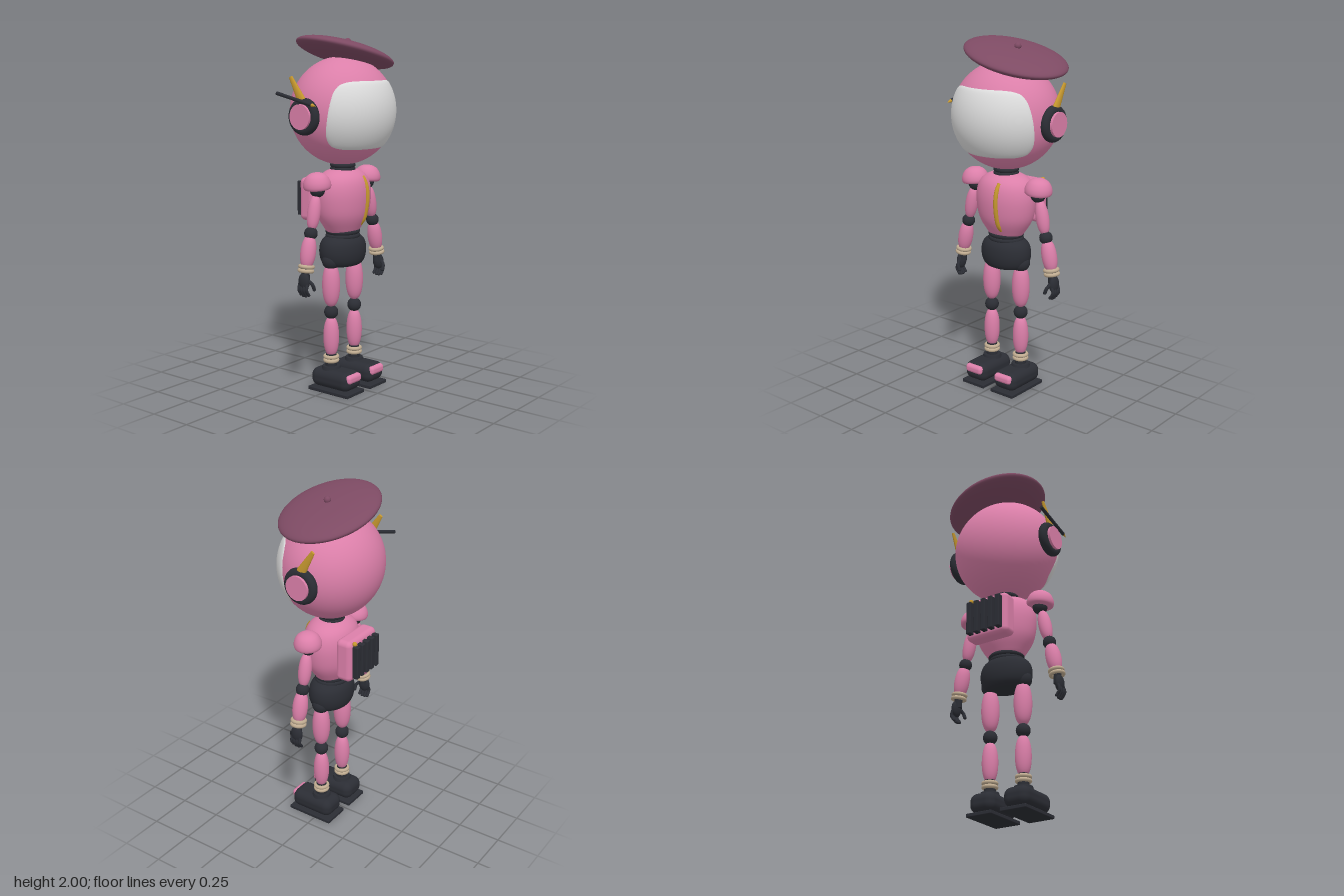
import * as THREE from 'three';
import { RoundedBoxGeometry } from 'three/addons/geometries/RoundedBoxGeometry.js';

const mat = (name, color, side = THREE.FrontSide) => {
  const m = new THREE.MeshStandardMaterial({ color, side });
  m.name = name;
  return m;
};

export function createModel() {
  const pink = mat('pink shell', 0xdb7fa9);
  const plum = mat('plum felt', 0x7d4a63);
  const dark = mat('dark joint', 0x2b2d34);
  const white = mat('visor white', 0xdcdcdc, THREE.DoubleSide);
  const gold = mat('gold', 0xc6982f);
  const beige = mat('beige ring', 0xbfab90);

  const root = new THREE.Group();
  root.name = 'robot';

  const add = (parent, name, geo, material, x = 0, y = 0, z = 0) => {
    const m = new THREE.Mesh(geo, material);
    m.name = name;
    m.position.set(x, y, z);
    parent.add(m);
    return m;
  };
  const group = (name, parent = root) => {
    const g = new THREE.Group();
    g.name = name;
    parent.add(g);
    return g;
  };
  const ball = (rx, ry = rx, rz = rx) => new THREE.SphereGeometry(1, 40, 28).scale(rx, ry, rz);
  // Smooth turned solid from a few profile points, bottom to top
  const turned = (pts, depth = 1) => {
    const curve = new THREE.SplineCurve(pts.map(p => new THREE.Vector2(...p)));
    const profile = curve.getPoints(40).map(p => new THREE.Vector2(Math.max(0, p.x), p.y));
    return new THREE.LatheGeometry(profile, 48).scale(1, 1, depth);
  };
  // Blunt spindle used for the limb shells
  const spindle = (r, half) => {
    const pts = [];
    for (let i = 0; i <= 24; i++) {
      const a = (i / 24 - 0.5) * Math.PI;
      pts.push(new THREE.Vector2(r * Math.pow(Math.max(0, Math.cos(a)), 0.75), half * Math.sin(a)));
    }
    return new THREE.LatheGeometry(pts, 32);
  };
  const ring = (R, r) => new THREE.TorusGeometry(R, r, 14, 40).rotateX(Math.PI / 2);
  const tube = (pts, r) => new THREE.TubeGeometry(
    new THREE.CatmullRomCurve3(pts.map(p => new THREE.Vector3(...p))), 20, r, 10);

  // Head
  const head = group('head');
  const HY = 1.588;
  add(head, 'headShell', new THREE.SphereGeometry(1, 64, 48).scale(0.31, 0.3, 0.283), pink, 0, HY, 0);

  // Visor: a rounded patch wrapped onto the head, its rim tucked into the shell
  const visorGeo = new THREE.PlaneGeometry(2, 2, 64, 48);
  const vp = visorGeo.attributes.position;
  for (let i = 0; i < vp.count; i++) {
    const x = vp.getX(i), y = vp.getY(i);
    const px = x * Math.sqrt(1 - 0.25 * y ** 6);
    const py = y * Math.sqrt(1 - 0.25 * x ** 6);
    const lift = 1.016 - 0.04 * Math.max(Math.abs(x), Math.abs(y)) ** 24;
    const t = (1.573 + 0.192 * py - HY) / 0.3;
    const around = Math.sqrt(1 - t * t);
    const az = THREE.MathUtils.degToRad(68 - 7 * py) * px;
    vp.setXYZ(i, 0.31 * Math.sin(az) * around * lift, 0.3 * t * lift, 0.283 * Math.cos(az) * around * lift);
  }
  visorGeo.computeVertexNormals();
  add(head, 'visor', visorGeo, white, 0, HY, 0);

  // Ear cups with antennae
  for (const s of [1, -1]) {
    const ear = group(s > 0 ? 'leftEar' : 'rightEar', head);
    ear.position.set(s * 0.31, 1.57, -0.02);
    add(ear, 'earCushion', new THREE.TorusGeometry(0.074, 0.027, 16, 48).rotateY(Math.PI / 2), dark);
    add(ear, 'earBody', new THREE.CylinderGeometry(0.08, 0.08, 0.044, 40).rotateZ(Math.PI / 2), dark);
    add(ear, 'earCap', new THREE.CylinderGeometry(0.068, 0.068, 0.04, 40).rotateZ(Math.PI / 2), pink, s * 0.02);
    const antenna = add(ear, 'antenna',
      new THREE.CylinderGeometry(0.012, 0.028, 0.15, 20).scale(0.5, 1, 1), gold, s * 0.008, 0.145, -0.046);
    antenna.rotation.x = -0.55;
  }

  // Stylus tucked over the right ear
  const stylus = group('stylus', head);
  stylus.position.set(-0.349, 1.664, -0.055);
  stylus.rotation.x = 0.22;
  add(stylus, 'stylusBody', new THREE.CylinderGeometry(0.01, 0.01, 0.25, 16).rotateX(Math.PI / 2), dark);
  add(stylus, 'stylusTip', new THREE.ConeGeometry(0.01, 0.03, 16).rotateX(Math.PI / 2), gold, 0, 0, 0.14);

  // Tilted beret
  const beret = group('beret', head);
  beret.position.set(0.05, 1.905, -0.022);
  beret.rotation.set(0.07, 0, -0.26);
  add(beret, 'beretDisc', new THREE.SphereGeometry(1, 64, 32).scale(0.303, 0.056, 0.263), plum);
  add(beret, 'beretStub', ball(0.019), plum, 0, 0.063, 0);

  // Neck
  add(root, 'neck', new THREE.CylinderGeometry(0.06, 0.06, 0.1, 32), dark, 0, 1.28, 0);
  for (const y of [1.262, 1.285]) add(root, 'neckRing', ring(0.058, 0.014), dark, 0, y, 0);

  // Torso and front zip
  add(root, 'torso', turned([[0, 0.895], [0.085, 0.9], [0.125, 0.94], [0.165, 1.01], [0.181, 1.1],
    [0.176, 1.17], [0.153, 1.22], [0.11, 1.252], [0.06, 1.265], [0, 1.267]], 0.8), pink);
  add(root, 'zip', tube([[0.04, 0.955, 0.092], [0.04, 0.985, 0.117], [0.04, 1.03, 0.132], [0.04, 1.1, 0.142],
    [0.04, 1.16, 0.138], [0.04, 1.195, 0.126], [0.04, 1.222, 0.107]], 0.013), gold);

  // Backpack with vertical fins
  const pack = group('backpack');
  add(pack, 'packShell', new RoundedBoxGeometry(0.27, 0.245, 0.1, 5, 0.03), pink, 0, 1.088, -0.162);
  for (let i = -2; i <= 2; i++)
    add(pack, 'packFin', new RoundedBoxGeometry(0.03, 0.195, 0.05, 3, 0.006), dark, i * 0.047, 1.088, -0.22);
  add(pack, 'packKnob', ball(0.013), gold, 0.094, 1.197, -0.216);

  // Waist and pelvis
  add(root, 'waist', new THREE.CylinderGeometry(0.095, 0.095, 0.08, 40).scale(1, 1, 0.9), dark, 0, 0.89, 0);
  for (const y of [0.885, 0.91]) add(root, 'waistRing', ring(0.092, 0.013).scale(1, 1, 0.9), dark, 0, y, 0);
  add(root, 'pelvis', turned([[0, 0.712], [0.1, 0.716], [0.138, 0.738], [0.155, 0.79],
    [0.148, 0.845], [0.12, 0.878], [0.08, 0.888], [0, 0.89]], 0.76), dark);

  for (const s of [1, -1]) {
    const side = s > 0 ? 'left' : 'right';

    // Arm
    const arm = group(side + 'Arm');
    const pad = add(arm, 'shoulderPad', turned([[0, -0.012], [0.06, -0.012], [0.076, 0], [0.074, 0.03],
      [0.057, 0.06], [0.03, 0.077], [0, 0.082]]), pink, s * 0.226, 1.183, 0);
    pad.rotation.z = -s * 0.1;
    add(arm, 'shoulderJoint', ball(0.042), dark, s * 0.225, 1.168, 0);
    add(arm, 'upperArm', spindle(0.037, 0.095), pink, s * 0.256, 1.045, 0).rotation.z = s * 0.2;
    add(arm, 'elbow', ball(0.037), dark, s * 0.282, 0.935, 0);
    add(arm, 'forearm', spindle(0.043, 0.092), pink, s * 0.306, 0.835, 0).rotation.z = s * 0.2;
    add(arm, 'wrist', new THREE.CylinderGeometry(0.022, 0.022, 0.09, 20), dark, s * 0.328, 0.725, 0);
    for (const [x, y] of [[0.321, 0.757], [0.326, 0.735]])
      add(arm, 'bracelet', ring(0.035, 0.011), beige, s * x, y, 0).rotation.z = s * 0.15;

    // Hand with curled fingers
    const hand = group(side + 'Hand', arm);
    add(hand, 'palm', ball(0.022, 0.048, 0.036), dark, s * 0.341, 0.678, 0);
    for (let i = 0; i < 4; i++) {
      const z = (i - 1.5) * 0.018;
      const tip = [s * 0.336, 0.594 + Math.abs(i - 1.5) * 0.006, z];
      add(hand, 'finger', tube([[s * 0.346, 0.665, z], [s * 0.354, 0.632, z], tip], 0.009), dark);
      add(hand, 'fingerTip', ball(0.009), dark, ...tip);
    }
    add(hand, 'thumb', tube([[s * 0.338, 0.685, 0.025], [s * 0.326, 0.66, 0.048], [s * 0.316, 0.635, 0.05]], 0.01), dark);
    add(hand, 'thumbTip', ball(0.01), dark, s * 0.316, 0.635, 0.05);

    // Leg
    const leg = group(side + 'Leg');
    leg.position.x = s * 0.107;
    add(leg, 'hipJoint', ball(0.052), dark, 0, 0.755, 0);
    add(leg, 'thigh', spindle(0.051, 0.125), pink, 0, 0.615, 0);
    add(leg, 'knee', ball(0.04), dark, 0, 0.458, 0);
    add(leg, 'shin', spindle(0.045, 0.115), pink, 0, 0.315, 0);
    add(leg, 'ankle', new THREE.CylinderGeometry(0.03, 0.034, 0.1, 24), dark, 0, 0.165, 0);
    for (const y of [0.198, 0.176]) add(leg, 'anklet', ring(0.035, 0.011), beige, 0, y, 0);

    // Shoe
    add(leg, 'shoeCollar', new THREE.CylinderGeometry(0.05, 0.06, 0.03, 32), dark, 0, 0.13, 0);
    add(leg, 'shoe', new RoundedBoxGeometry(0.154, 0.108, 0.27, 8, 0.045), dark, 0, 0.078, 0.035);
    add(leg, 'toeCap', new RoundedBoxGeometry(0.118, 0.05, 0.07, 5, 0.02), pink, 0, 0.097, 0.143);
    add(leg, 'sole', new RoundedBoxGeometry(0.16, 0.02, 0.285, 2, 0.004), dark, 0, 0.01, 0.035);
  }
  return root;
}
